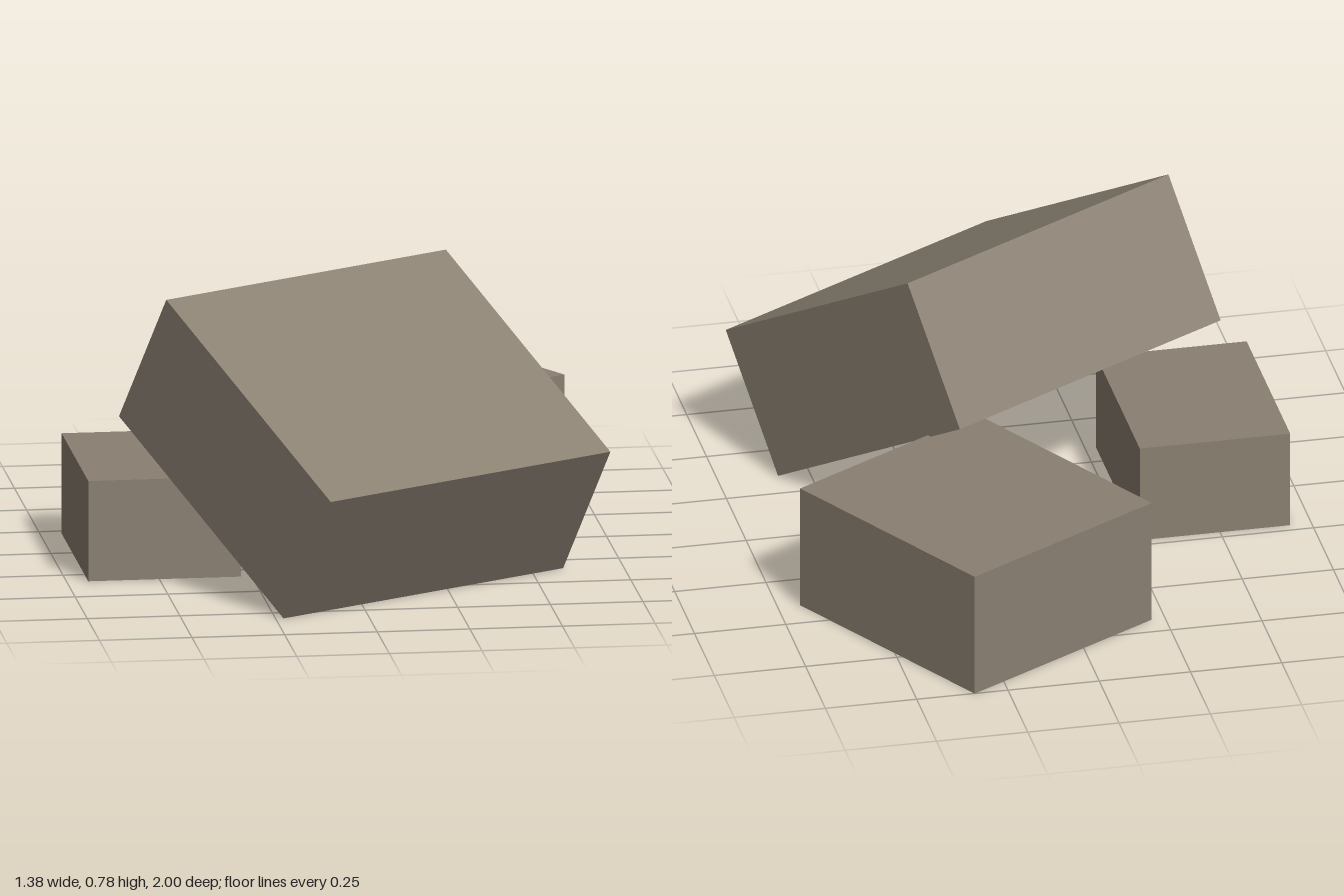
import * as THREE from 'three';

export function createModel() {
  const group = new THREE.Group();
  const stone = new THREE.MeshStandardMaterial({ color: 0x8a8072 });
  stone.name = 'grey brown stone';

  const block = (name, size, position, yaw = 0, pitch = 0) => {
    const mesh = new THREE.Mesh(new THREE.BoxGeometry(...size), stone);
    mesh.name = name;
    mesh.position.set(...position);
    mesh.rotation.set(pitch, yaw, 0, 'YXZ');
    group.add(mesh);
  };

  const turn = Math.PI / 6;
  // large block tipped forward onto its lower front edge
  block('tiltedBlock', [0.943, 0.416, 0.836], [0.05, 0.39, 0.36], turn, turn);
  // medium block lying flat behind
  block('rearBlock', [0.64, 0.352, 0.695], [0.238, 0.176, -0.54], turn);
  // small block lying square at the side
  block('smallBlock', [0.412, 0.276, 0.55], [-0.486, 0.138, 0.053]);

  return group;
}
